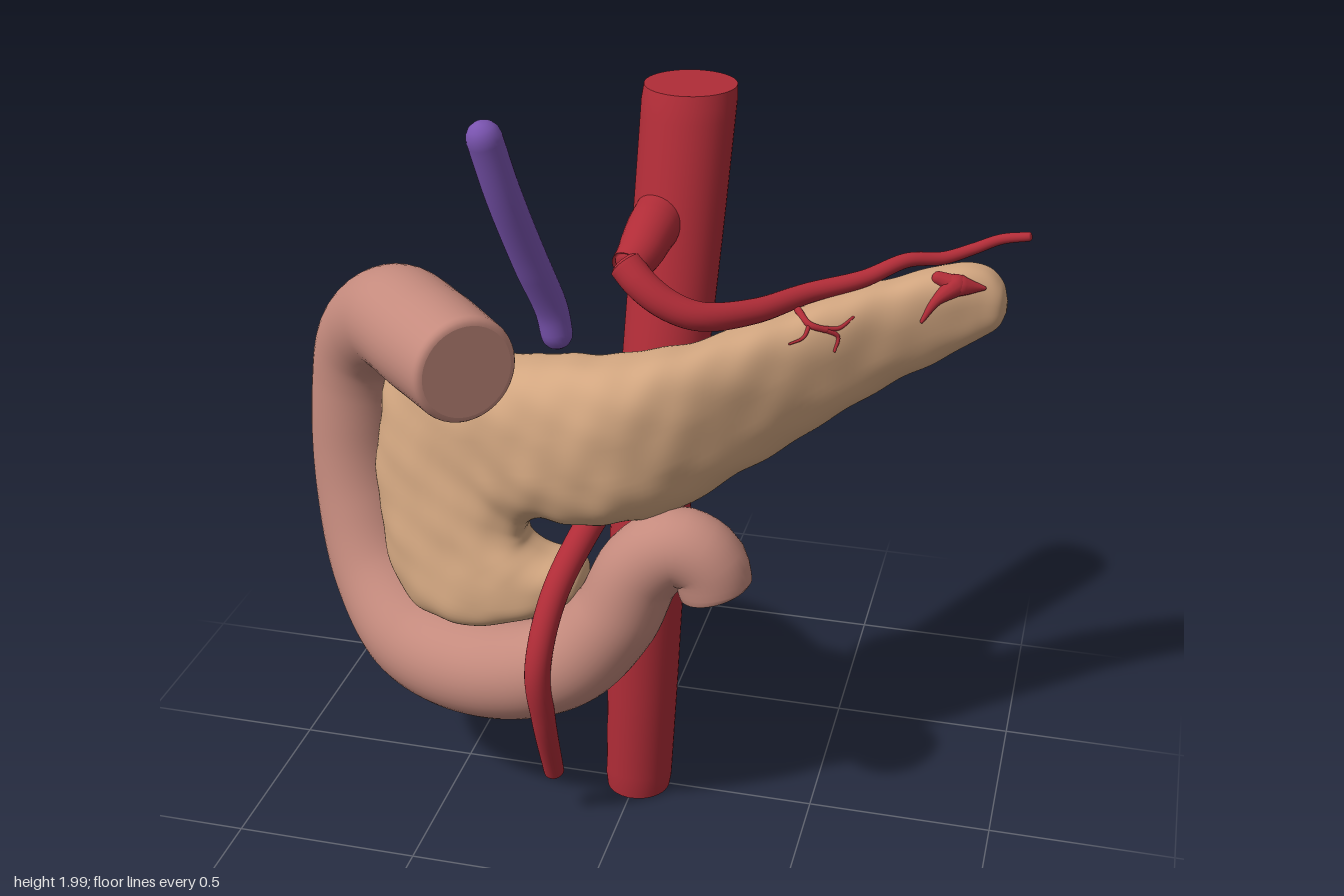
import * as THREE from 'three';

const V = (p) => new THREE.Vector3(...p);
const mat = (name, color) => Object.assign(new THREE.MeshStandardMaterial({ color }), { name });

// Skin a list of equal closed rings and close both ends with flat, sharp-edged caps
function loft(rings) {
  const n = rings[0].length, pos = [], idx = [];
  rings.forEach((r) => r.forEach((v) => pos.push(v.x, v.y, v.z)));
  for (let i = 0; i < rings.length - 1; i++) {
    for (let j = 0; j < n; j++) {
      const k = (j + 1) % n, a = i * n + j, b = i * n + k;
      idx.push(a, b, a + n, b, b + n, a + n);
    }
  }
  [rings[0], rings[rings.length - 1]].forEach((r, end) => {
    const base = pos.length / 3, c = new THREE.Vector3();
    r.forEach((v) => { pos.push(v.x, v.y, v.z); c.addScaledVector(v, 1 / n); });
    pos.push(c.x, c.y, c.z);
    for (let j = 0; j < n; j++) {
      const a = base + j, b = base + (j + 1) % n;
      idx.push(...(end ? [a, b, base + n] : [b, a, base + n]));
    }
  });
  const g = new THREE.BufferGeometry();
  g.setAttribute('position', new THREE.Float32BufferAttribute(pos, 3));
  g.setIndex(idx);
  g.computeVertexNormals();
  return g;
}

// Value at u in 0..1 along an evenly spaced list
function along(list, u) {
  const f = u * (list.length - 1), i = Math.min(Math.floor(f), list.length - 2);
  return THREE.MathUtils.lerp(list[i], list[i + 1], f - i);
}

// Tapering tube; soft = 1 gives round ends, small values a softened flat cut
function vessel(points, radii, soft = 0.12, steps = 60, sides = 28) {
  const curve = new THREE.CatmullRomCurve3(points.map(V));
  const fr = curve.computeFrenetFrames(steps), rings = [];
  const ring = (i, shift, scale) => {
    const r = along(radii, i / steps);
    const c = curve.getPointAt(i / steps).addScaledVector(fr.tangents[i], shift * r);
    rings.push(Array.from({ length: sides }, (_, j) => {
      const a = (j / sides) * Math.PI * 2;
      return c.clone().addScaledVector(fr.normals[i], Math.cos(a) * r * scale)
        .addScaledVector(fr.binormals[i], Math.sin(a) * r * scale);
    }));
  };
  const inset = soft < 1 ? 1 : 0;
  const end = (i, dir, q) => ring(i, dir * soft * (Math.sin(q) - inset), 1 - soft + soft * Math.cos(q));
  const caps = [0.25, 0.5, 0.75, 0.97].map((f) => f * Math.PI / 2);
  [...caps].reverse().forEach((q) => end(0, -1, q));
  for (let i = inset; i <= steps - inset; i++) ring(i, 0, 1);
  caps.forEach((q) => end(steps, 1, q));
  return loft(rings);
}

// Gland stations from the hook, round the head and out to the tail:
// inner edge x y z, outer edge x y z, half depth
const GLAND = [
  [-0.10, 0.735, 0.14, -0.10, 0.715, 0.14, 0.02], [-0.115, 0.77, 0.14, -0.12, 0.68, 0.145, 0.07],
  [-0.16, 0.79, 0.14, -0.20, 0.64, 0.155, 0.095], [-0.20, 0.80, 0.14, -0.33, 0.59, 0.16, 0.11],
  [-0.23, 0.815, 0.14, -0.48, 0.56, 0.13, 0.12], [-0.255, 0.83, 0.14, -0.63, 0.60, 0.075, 0.125],
  [-0.265, 0.845, 0.14, -0.71, 0.76, 0.015, 0.125], [-0.27, 0.86, 0.14, -0.73, 1.02, -0.035, 0.125],
  [-0.265, 0.88, 0.14, -0.68, 1.22, -0.055, 0.13], [-0.25, 0.90, 0.14, -0.52, 1.28, 0.0, 0.14],
  [-0.20, 0.92, 0.145, -0.32, 1.315, 0.09, 0.15], [-0.12, 0.925, 0.155, -0.16, 1.355, 0.135, 0.15],
  [0, 0.935, 0.155, 0, 1.38, 0.155, 0.15], [0.15, 0.975, 0.10, 0.15, 1.405, 0.10, 0.15],
  [0.30, 1.045, -0.01, 0.30, 1.435, -0.01, 0.14], [0.45, 1.125, -0.12, 0.45, 1.47, -0.12, 0.125],
  [0.60, 1.205, -0.22, 0.60, 1.50, -0.22, 0.105], [0.74, 1.275, -0.285, 0.74, 1.53, -0.285, 0.085],
  [0.84, 1.335, -0.315, 0.84, 1.53, -0.315, 0.07], [0.89, 1.37, -0.32, 0.89, 1.49, -0.32, 0.05],
  [0.908, 1.41, -0.32, 0.908, 1.44, -0.32, 0.015],
];
const POWER = 0.75;
const BODY_START = 0.6; // beyond this the sections stand upright in x
const spline = (pick) => new THREE.CatmullRomCurve3(GLAND.map((s) => V(pick(s))), false, 'catmullrom');
const innerEdge = spline((s) => s.slice(0, 3));
const outerEdge = spline((s) => s.slice(3, 6));
const depth = spline((s) => [s[6], 0, 0]);
const power = (v) => Math.sign(v) * Math.abs(v) ** POWER;

function glandSection(t) {
  const a = innerEdge.getPoint(t), b = outerEdge.getPoint(t);
  return { mid: a.clone().add(b).multiplyScalar(0.5), half: b.sub(a).multiplyScalar(0.5), hz: depth.getPoint(t).x };
}

// Lumpy gland skinned from rounded sections that fan round the notch
function glandGeometry() {
  const steps = 180, sides = 64;
  return loft(Array.from({ length: steps + 1 }, (_, i) => {
    const s = glandSection(i / steps);
    return Array.from({ length: sides }, (_, j) => {
      const a = (j / sides) * Math.PI * 2;
      const v = s.half.clone().multiplyScalar(power(Math.cos(a)));
      v.z += power(Math.sin(a)) * s.hz;
      const p = v.clone().add(s.mid);
      const bump = 1 + 0.02 * Math.sin(p.x * 25 + 1) * Math.sin(p.y * 28 + p.z * 12)
        + 0.015 * Math.sin(p.x * 39 + p.y * 21) * Math.sin(p.y * 37 - p.x * 18 + 2);
      return v.multiplyScalar(bump).add(s.mid);
    });
  }));
}

// Point on the front (side 1) or back (side -1) of the gland body at a given x and y
function onGland(x, y, side) {
  let lo = BODY_START, hi = 1;
  for (let k = 0; k < 30; k++) {
    const m = (lo + hi) / 2;
    if (outerEdge.getPoint(m).x < x) lo = m; else hi = m;
  }
  const s = glandSection(lo);
  const c = Math.min(Math.abs((y - s.mid.y) / s.half.y), 1) ** (1 / POWER);
  return [x, y, s.mid.z + side * (s.hz * Math.sqrt(1 - c * c) ** POWER + 0.002)];
}

export function createModel() {
  const model = new THREE.Group();
  const artery = mat('arteryRed', 0xb02c37), gut = mat('gutPink', 0xc48a7d);
  const tan = mat('glandTan', 0xd2a680), violet = mat('ductViolet', 0x7a54b0);
  const add = (name, geometry, material) => {
    const m = new THREE.Mesh(geometry, material);
    m.name = name;
    model.add(m);
  };

  // Main artery: level rings, so both cuts are horizontal
  const spine = new THREE.CatmullRomCurve3([
    [0.007, 0.005, 0.009], [0.02, 0.35, 0.016], [0.03, 0.7, 0.013], [0.04, 1.0, -0.025],
    [0.05, 1.3, -0.11], [0.055, 1.6, -0.21], [0.06, 1.958, -0.322]].map(V));
  const mainRings = Array.from({ length: 61 }, (_, i) => {
    const c = spine.getPoint(i / 60), r = 0.092 + 0.033 * (i / 60) - (i % 60 ? 0 : 0.004);
    return Array.from({ length: 40 }, (_, j) => {
      const a = (j / 40) * Math.PI * 2;
      return new THREE.Vector3(c.x + Math.sin(a) * r, c.y, c.z + Math.cos(a) * r);
    });
  });
  add('mainArtery', loft(mainRings), artery);

  // Curved gut loop around the head of the gland
  add('gutLoop', vessel([
    [-0.345, 1.39, 0.345], [-0.5, 1.39, 0.185], [-0.66, 1.365, 0.01], [-0.785, 1.24, -0.105], [-0.83, 1.0, -0.135],
    [-0.82, 0.78, -0.12], [-0.755, 0.57, -0.05], [-0.61, 0.44, 0.075], [-0.36, 0.435, 0.185], [-0.15, 0.5, 0.2],
    [-0.01, 0.66, 0.205], [0.065, 0.82, 0.2], [0.155, 0.89, 0.2], [0.235, 0.86, 0.2], [0.262, 0.775, 0.2]],
  [0.14, 0.146, 0.146, 0.138, 0.134, 0.136, 0.14, 0.142, 0.142, 0.14, 0.135, 0.125, 0.115, 0.108, 0.097],
  0.14, 140, 40), gut);

  add('gland', glandGeometry(), tan);

  // Duct
  add('duct', vessel([[-0.318, 1.955, 0.232], [-0.29, 1.8, 0.185], [-0.25, 1.6, 0.105], [-0.215, 1.45, 0.045],
    [-0.205, 1.38, 0.035]], [0.045, 0.046, 0.046, 0.042], 1), violet);

  // Side arteries
  add('arteryTrunk', vessel([[0.02, 1.65, -0.17], [0.015, 1.635, -0.07], [0.005, 1.605, 0.01], [-0.01, 1.585, 0.06]],
    [0.07, 0.067, 0.06, 0.047], 0.6), artery);
  add('upperArtery', vessel([
    [-0.02, 1.605, 0.06], [0.03, 1.56, 0.085], [0.1, 1.515, 0.095], [0.18, 1.485, 0.08], [0.3, 1.475, -0.01],
    [0.42, 1.49, -0.13], [0.55, 1.515, -0.2], [0.65, 1.555, -0.25], [0.74, 1.555, -0.29], [0.81, 1.575, -0.32],
    [0.88, 1.61, -0.315], [0.955, 1.63, -0.3]],
  [0.045, 0.04, 0.036, 0.031, 0.026, 0.022, 0.018, 0.015, 0.012], 0.4, 110, 20), artery);
  add('lowerArtery', vessel([[0.03, 1.2, -0.06], [-0.02, 1.02, 0.0], [-0.1, 0.88, 0.13], [-0.16, 0.73, 0.26],
    [-0.185, 0.55, 0.335], [-0.18, 0.38, 0.31], [-0.18, 0.15, 0.222]], [0.045, 0.04, 0.036, 0.034, 0.028]), artery);

  // Fine branches lying on the gland: side, x-y path, radii
  [
    [1, [[0.4, 1.46], [0.44, 1.445], [0.48, 1.43]], [0.01, 0.008]],
    [1, [[0.48, 1.43], [0.51, 1.41], [0.505, 1.375]], [0.007, 0.004]],
    [1, [[0.47, 1.435], [0.51, 1.43], [0.54, 1.45]], [0.007, 0.004]],
    [1, [[0.44, 1.445], [0.43, 1.42], [0.4, 1.41]], [0.006, 0.003]],
    [-1, [[0.42, 1.46], [0.44, 1.43], [0.43, 1.39]], [0.009, 0.005]],
    [-1, [[0.44, 1.43], [0.48, 1.41], [0.49, 1.38]], [0.006, 0.004]],
    [-1, [[0.25, 1.42], [0.27, 1.39], [0.25, 1.36]], [0.008, 0.004]],
    [1, [[0.735, 1.52], [0.785, 1.505], [0.85, 1.495]], [0.018, 0.028, 0.006]],
    [1, [[0.78, 1.505], [0.735, 1.47], [0.705, 1.42]], [0.03, 0.014, 0.005]],
  ].forEach(([side, path, radii]) => add('fineBranch',
    vessel(path.map(([x, y]) => onGland(x, y, side)), radii, 1, 14, 10), artery));

  return model;
}
